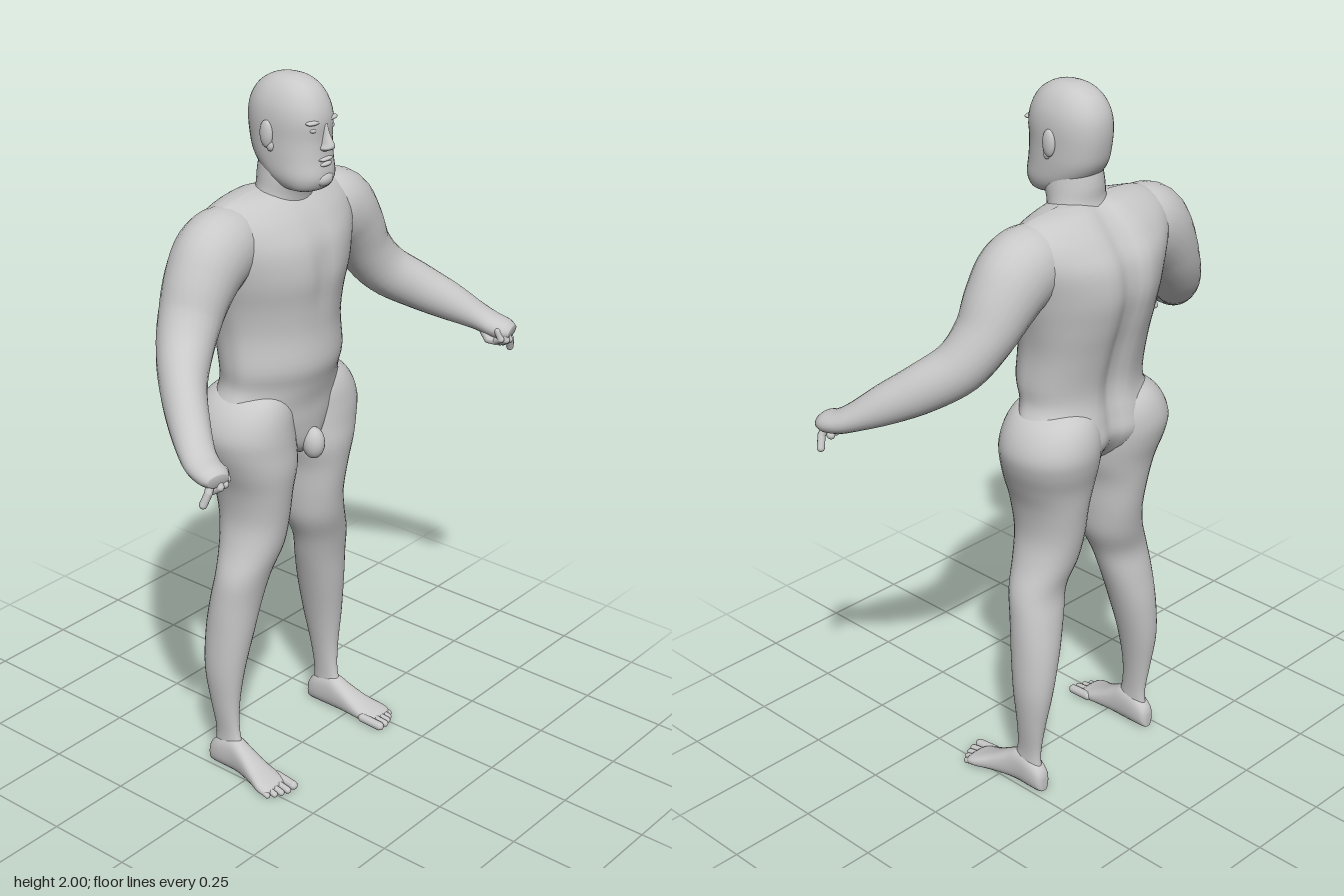
import * as THREE from 'three';

const skin = new THREE.MeshStandardMaterial({ color: 0xc8c8c8 });
skin.name = 'grey skin';

// Smoothly interpolate a table of numeric rows
function smoothRows(rows, steps) {
  const out = [];
  for (let i = 0; i < rows.length - 1; i++) {
    const [a, b, c, d] = [rows[Math.max(i - 1, 0)], rows[i], rows[i + 1], rows[Math.min(i + 2, rows.length - 1)]];
    for (let s = 0; s < steps; s++) {
      const t = s / steps;
      out.push(b.map((q, k) => q + 0.5 * t * (c[k] - a[k] + t * (2 * a[k] - 5 * q + 4 * c[k] - d[k]
        + t * (3 * (q - c[k]) + d[k] - a[k])))));
    }
  }
  out.push(rows[rows.length - 1]);
  return out;
}

// Closed skin over cross-sections; place(row, cos, sin) gives a point of a ring
function loft(name, rows, place, power = 2, n = 32, steps = 4) {
  const rings = smoothRows(rows, steps), pos = [], idx = [];
  const bend = (v) => Math.sign(v) * Math.abs(v) ** (2 / power);
  for (const r of rings) {
    for (let j = 0; j < n; j++) {
      const a = j / n * Math.PI * 2;
      pos.push(...place(r, bend(Math.cos(a)), bend(Math.sin(a))));
    }
  }
  const last = rings.length - 1, cap = rings.length * n;
  pos.push(...place(rings[0], 0, 0), ...place(rings[last], 0, 0));
  for (let j = 0; j < n; j++) {
    const k = (j + 1) % n;
    for (let i = 0; i < last; i++) {
      const a = i * n + j, b = i * n + k;
      idx.push(a, b, a + n, b, b + n, a + n);
    }
    idx.push(cap, k, j, cap + 1, last * n + j, last * n + k);
  }
  // Turn the skin outward if its signed volume is negative
  let volume = 0;
  const p = (i) => new THREE.Vector3(pos[3 * i], pos[3 * i + 1], pos[3 * i + 2]);
  for (let i = 0; i < idx.length; i += 3) volume += p(idx[i]).dot(p(idx[i + 1]).cross(p(idx[i + 2])));
  if (volume < 0) idx.reverse();
  const g = new THREE.BufferGeometry();
  g.setAttribute('position', new THREE.Float32BufferAttribute(pos, 3));
  g.setIndex(idx);
  g.computeVertexNormals();
  const mesh = new THREE.Mesh(g, skin);
  mesh.name = name;
  return mesh;
}

// Horizontal section: [y, back x, front x, inner z, outer z]
const level = (side = 1) => ([y, xb, xf, zi, zo], c, s) =>
  [(xb + xf) / 2 + c * (xf - xb) / 2, y, side * ((zi + zo) / 2 + s * (zo - zi) / 2)];

// Tube along a path: [x, y, z, radius across, radius upward]
function limb(name, rows, side, n = 24) {
  const curve = new THREE.CatmullRomCurve3(rows.map((r) => new THREE.Vector3(r[0], r[1], r[2])));
  const data = rows.map((r, i) => [...r, i / (rows.length - 1)]);
  return loft(name, data, (r, c, s) => {
    const t = curve.getTangent(THREE.MathUtils.clamp(r[5], 0, 1));
    const across = new THREE.Vector3(0, 1, 0).cross(t).normalize();
    const up = t.clone().cross(across);
    const v = new THREE.Vector3(r[0], r[1], r[2]).addScaledVector(across, c * r[3]).addScaledVector(up, s * r[4]);
    return [v.x, v.y, v.z * side];
  }, 2, n);
}

function ball(name, x, y, z, rx, ry, rz) {
  const mesh = new THREE.Mesh(new THREE.SphereGeometry(1, 20, 14), skin);
  mesh.name = name;
  mesh.position.set(x, y, z);
  mesh.scale.set(rx, ry, rz);
  return mesh;
}

function digit(name, a, b, r, side) {
  const from = new THREE.Vector3(a[0], a[1], a[2] * side), to = new THREE.Vector3(b[0], b[1], b[2] * side);
  const dir = to.clone().sub(from);
  const mesh = new THREE.Mesh(new THREE.CapsuleGeometry(r, dir.length(), 5, 10), skin);
  mesh.name = name;
  mesh.position.copy(from).add(to).multiplyScalar(0.5);
  mesh.quaternion.setFromUnitVectors(new THREE.Vector3(0, 1, 0), dir.normalize());
  return mesh;
}

export function createModel() {
  const model = new THREE.Group();
  model.name = 'standing figure';

  // Torso, with a spine groove and a chest cleft
  const bump = (v, mid, w) => Math.exp(-(((v - mid) / w) ** 2));
  const torsoRows = [
    [0.945, -0.11, 0.0, 0.04], [0.98, -0.17, 0.03, 0.12], [1.05, -0.215, 0.04, 0.21], [1.11, -0.21, 0.045, 0.225],
    [1.17, -0.2, 0.06, 0.198], [1.23, -0.203, 0.075, 0.2], [1.32, -0.225, 0.07, 0.2], [1.4, -0.25, 0.075, 0.215],
    [1.48, -0.268, 0.085, 0.24], [1.56, -0.26, 0.075, 0.265], [1.62, -0.225, 0.045, 0.275], [1.66, -0.19, 0.015, 0.25],
    [1.688, -0.155, -0.015, 0.19], [1.7, -0.12, -0.05, 0.1],
  ].map(([y, b, f, w]) => [y, b, f, -w, w]);
  model.add(loft('torso', torsoRows, (r, c, s) => {
    const v = level()(r, c, s);
    if (c < 0) v[0] += -c * (0.025 * bump(v[2], 0, 0.035) + 0.05 * s * s * bump(r[0], 1.5, 0.12));
    else v[0] -= c * (0.012 * bump(v[2], 0, 0.03) * bump(r[0], 1.5, 0.1) + 0.05 * s * s);
    return v;
  }, 2.3, 64));

  // Neck and head
  model.add(loft('neck', [
    [1.63, -0.16, 0.0, -0.11, 0.11], [1.69, -0.132, 0.01, -0.085, 0.085],
    [1.74, -0.13, 0.03, -0.078, 0.078], [1.8, -0.12, 0.02, -0.07, 0.07],
  ], level()));
  model.add(loft('head', [
    [1.705, 0.0, 0.05, -0.04, 0.04], [1.715, -0.05, 0.072, -0.065, 0.065], [1.745, -0.1, 0.085, -0.08, 0.08],
    [1.79, -0.138, 0.08, -0.084, 0.084], [1.84, -0.152, 0.077, -0.085, 0.085], [1.89, -0.156, 0.08, -0.086, 0.086],
    [1.93, -0.149, 0.071, -0.08, 0.08], [1.965, -0.128, 0.05, -0.064, 0.064], [1.988, -0.095, 0.018, -0.042, 0.042],
    [1.998, -0.06, -0.015, -0.016, 0.016],
  ], level(), 2.25, 40));
  model.add(loft('nose', [
    [1.815, 0.06, 0.086, -0.012, 0.012], [1.823, 0.06, 0.102, -0.02, 0.02], [1.835, 0.06, 0.104, -0.014, 0.014],
    [1.86, 0.06, 0.09, -0.009, 0.009], [1.885, 0.06, 0.081, -0.008, 0.008],
  ], level(), 2, 16));
  model.add(ball('upper lip', 0.077, 1.793, 0, 0.011, 0.006, 0.026));
  model.add(ball('lower lip', 0.077, 1.78, 0, 0.011, 0.007, 0.022));
  model.add(ball('chin', 0.068, 1.74, 0, 0.024, 0.022, 0.032));
  model.add(ball('groin', 0.04, 0.985, 0, 0.033, 0.046, 0.03));

  for (const side of [1, -1]) {
    const tag = side > 0 ? 'near ' : 'far ';
    const add = (...parts) => model.add(...parts);

    // Face details
    add(ball(tag + 'eye', 0.065, 1.872, side * 0.034, 0.009, 0.007, 0.013));
    add(ball(tag + 'brow', 0.064, 1.892, side * 0.034, 0.014, 0.007, 0.025));
    add(ball(tag + 'ear', -0.045, 1.855, side * 0.088, 0.02, 0.036, 0.011));
    add(ball(tag + 'ear lobe', -0.035, 1.825, side * 0.084, 0.011, 0.015, 0.009));

    // Leg from hip to ankle
    add(loft(tag + 'leg', [
      [1.17, -0.16, 0.0, 0.05, 0.16], [1.14, -0.2, 0.025, 0.02, 0.215], [1.1, -0.222, 0.04, 0.004, 0.248],
      [1.05, -0.23, 0.047, 0.002, 0.264], [1, -0.222, 0.05, 0.002, 0.256], [0.94, -0.205, 0.053, 0.008, 0.234],
      [0.87, -0.193, 0.045, 0.028, 0.21], [0.78, -0.178, 0.032, 0.034, 0.2], [0.7, -0.162, 0.02, 0.045, 0.217],
      [0.62, -0.145, 0.0, 0.08, 0.247], [0.54, -0.155, -0.015, 0.104, 0.257], [0.44, -0.166, -0.026, 0.134, 0.262],
      [0.32, -0.164, -0.042, 0.166, 0.264], [0.21, -0.146, -0.053, 0.188, 0.252], [0.12, -0.132, -0.05, 0.198, 0.24],
      [0.06, -0.135, -0.03, 0.198, 0.242], [0.03, -0.13, -0.03, 0.2, 0.24],
    ], level(side), 2.1, 36));

    // Foot with five toes: [x, top y, inner z, outer z]
    add(loft(tag + 'foot', [
      [-0.151, 0.045, 0.21, 0.23], [-0.142, 0.07, 0.197, 0.243], [-0.11, 0.095, 0.191, 0.249],
      [-0.06, 0.105, 0.19, 0.25], [-0.02, 0.086, 0.19, 0.256], [0.03, 0.058, 0.188, 0.27],
      [0.07, 0.04, 0.187, 0.284], [0.095, 0.031, 0.191, 0.285], [0.107, 0.022, 0.2, 0.275],
    ], ([x, top, zi, zo], c, s) => [x, Math.max(0.004, top / 2 + s * top / 2),
      side * ((zi + zo) / 2 + c * (zo - zi) / 2)], 2.4, 24));
    [[0.197, 0.132, 0.013], [0.222, 0.133, 0.01], [0.242, 0.126, 0.0095], [0.26, 0.117, 0.009], [0.277, 0.105, 0.0085]]
      .forEach(([z, x, r], i) => add(digit(`${tag}toe ${i + 1}`, [0.07, 0.02, z - 0.003], [x, r + 0.002, z], r, side)));

    // Arm from shoulder to wrist
    add(limb(tag + 'arm', [
      [-0.09, 1.59, 0.12, 0.07, 0.07], [-0.09, 1.585, 0.19, 0.095, 0.1], [-0.088, 1.56, 0.25, 0.1, 0.11],
      [-0.085, 1.505, 0.302, 0.095, 0.096], [-0.075, 1.425, 0.353, 0.084, 0.078], [-0.045, 1.35, 0.41, 0.072, 0.072],
      [0.015, 1.295, 0.478, 0.06, 0.066], [0.09, 1.245, 0.54, 0.053, 0.054], [0.155, 1.205, 0.585, 0.047, 0.038],
      [0.195, 1.185, 0.603, 0.046, 0.032], [0.235, 1.175, 0.612, 0.042, 0.028], [0.255, 1.17, 0.617, 0.03, 0.018],
    ], side));

    // Hand: pointing finger, curled fingers and thumb
    const finger = (name, pts, r) => {
      for (let i = 0; i < pts.length - 1; i++) add(digit(`${tag}${name} ${i + 1}`, pts[i], pts[i + 1], r, side));
    };
    finger('pointing finger', [[0.232, 1.17, 0.618], [0.238, 1.14, 0.635], [0.23, 1.11, 0.646]], 0.0105);
    finger('middle finger', [[0.24, 1.175, 0.603], [0.251, 1.15, 0.608], [0.228, 1.135, 0.612]], 0.011);
    finger('ring finger', [[0.243, 1.178, 0.588], [0.252, 1.153, 0.592], [0.228, 1.14, 0.596]], 0.011);
    finger('little finger', [[0.235, 1.18, 0.574], [0.245, 1.158, 0.576], [0.222, 1.146, 0.58]], 0.01);
    finger('thumb', [[0.18, 1.175, 0.577], [0.205, 1.15, 0.572], [0.226, 1.145, 0.585]], 0.012);
  }
  return model;
}
